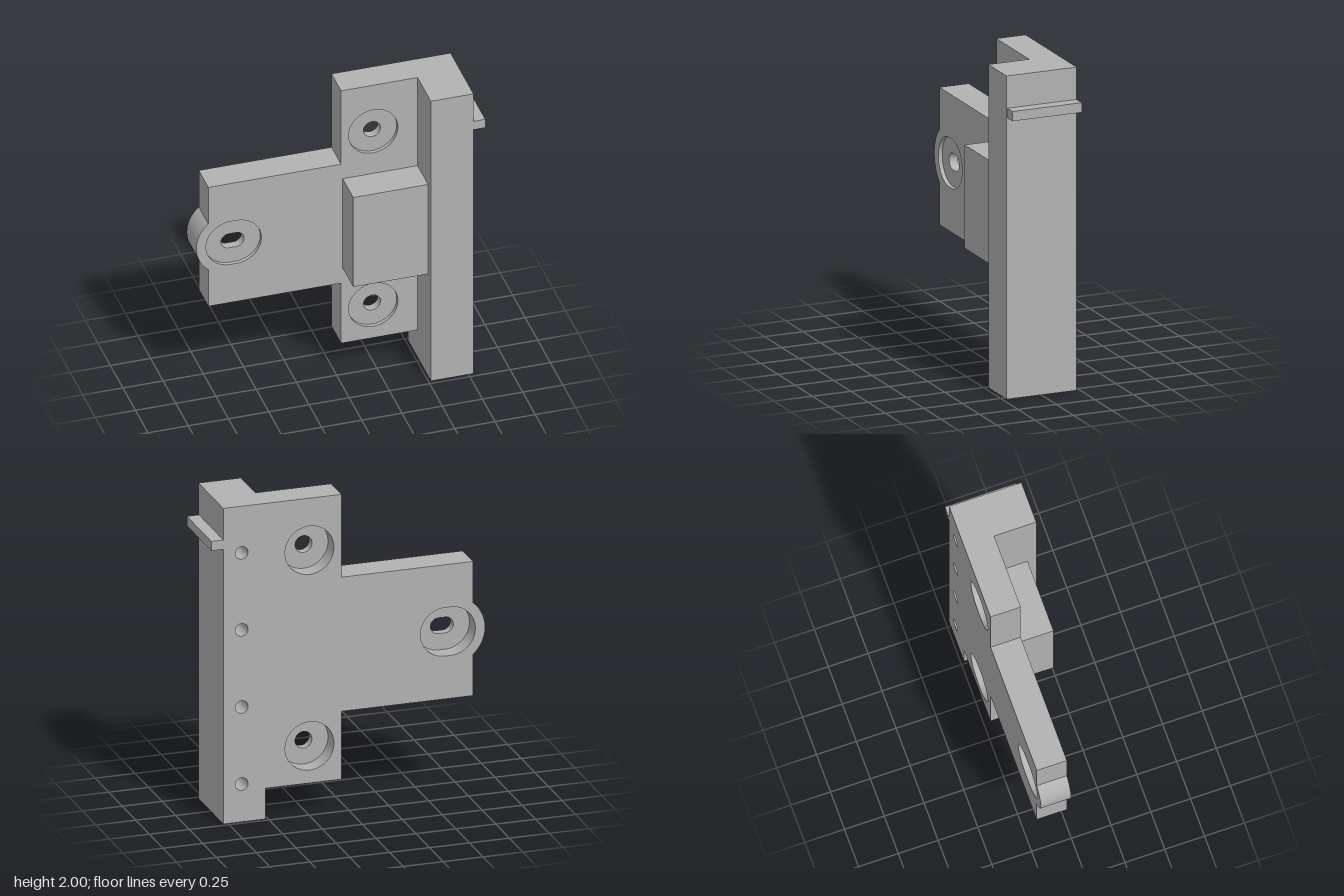
import * as THREE from 'three';
import { toCreasedNormals } from 'three/addons/utils/BufferGeometryUtils.js';

const BACK = -0.23, FACE = -0.04;

// Round hole or horizontal slot; half is half the straight length
function slot(Type, x, y, r, half = 0) {
  const p = new Type();
  p.absarc(x + half, y, r, -Math.PI / 2, Math.PI / 2, false);
  p.absarc(x - half, y, r, Math.PI / 2, Math.PI * 1.5, false);
  p.closePath();
  return p;
}

function polygon(points) {
  return new THREE.Shape(points.map(([x, y]) => new THREE.Vector2(x, y)));
}

export function createModel() {
  const group = new THREE.Group();
  const grey = new THREE.MeshStandardMaterial({ color: 0xb2b2b2 });
  grey.name = 'grey';

  function add(name, geometry) {
    const mesh = new THREE.Mesh(geometry, grey);
    mesh.name = name;
    group.add(mesh);
  }
  function slab(name, shape, z0, z1) {
    const g = new THREE.ExtrudeGeometry(shape, { depth: z1 - z0, bevelEnabled: false, curveSegments: 24 });
    g.translate(0, 0, z0);
    add(name, toCreasedNormals(g, 0.5));
  }
  function box(name, x0, x1, y0, y1, z0, z1) {
    const g = new THREE.BoxGeometry(x1 - x0, y1 - y0, z1 - z0);
    g.translate((x0 + x1) / 2, (y0 + y1) / 2, (z0 + z1) / 2);
    add(name, g);
  }

  // T-shaped mounting plate with a rounded lug on its end
  const plate = new THREE.Shape();
  const lug = Math.acos(0.14 / 0.215);
  plate.moveTo(0.515, 0.195);
  plate.lineTo(0.04, 0.195);
  plate.lineTo(0.04, 0.625);
  plate.lineTo(-0.785, 0.625);
  plate.absarc(-0.645, 1.05, 0.215, Math.PI + lug, Math.PI - lug, true);
  plate.lineTo(-0.785, 1.475);
  plate.lineTo(0.04, 1.475);
  plate.lineTo(0.04, 2);
  plate.lineTo(0.515, 2);
  plate.closePath();

  // Recessed screw seats: a wide bore from both faces with a thin web between
  const seats = [
    { x: 0.24, y: 1.67, r: 0.053, wide: 0, narrow: 0 },
    { x: 0.24, y: 0.43, r: 0.053, wide: 0, narrow: 0 },
    { x: -0.627, y: 1.05, r: 0.05, wide: 0.019, narrow: 0.022 },
  ];
  for (const s of seats) {
    plate.holes.push(slot(THREE.Path, s.x, s.y, 0.153, s.wide));
    const web = slot(THREE.Shape, s.x, s.y, 0.156, s.wide);
    web.holes.push(slot(THREE.Path, s.x, s.y, s.r, s.narrow));
    slab('screwSeat', web, -0.12, -0.065);
  }
  slab('mountingPlate', plate, BACK, FACE);

  // Upright bar with four blind pilot holes in its back
  const bar = polygon([[0.515, 0], [0.78, 0], [0.78, 2], [0.515, 2]]);
  for (let i = 0; i < 4; i++) bar.holes.push(slot(THREE.Path, 0.665, 0.24 + i * 0.488, 0.04));
  slab('barBack', bar, BACK, -0.05);
  box('barFront', 0.515, 0.78, 0, 2, -0.05, 0.225);

  // Raised block beside the bar and the thin tab on its outer side
  box('raisedBlock', 0.05, 0.515, 0.73, 1.37, FACE, 0.17);
  box('sideTab', 0.78, 0.855, 1.74, 1.8, BACK, 0.22);

  return group;
}
